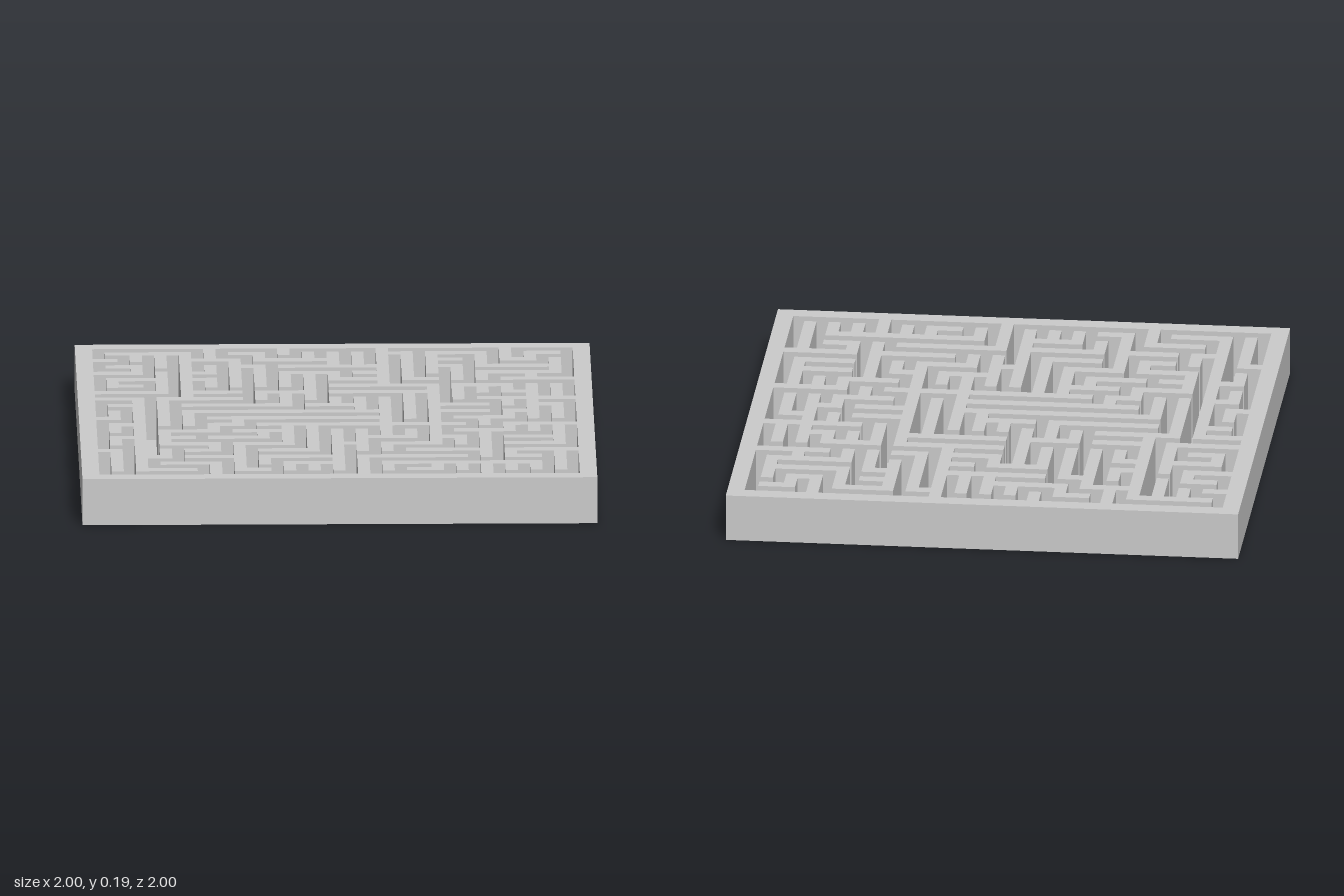
import * as THREE from 'three';

// Maze plan: each wall post names the neighbour its wall runs to (Up, Down, Left, Right)
const PLAN = [
  'RRRDURDUDDDULRRDUDL',
  'LUURULRRRDDUUULDULD',
  'RDUUDULRRRRUUULRRRD',
  'LLDULUURRDRUUUURRDL',
  'RRDULUUUURRUULUURRR',
  'ULDUUUUUURRULLRRDDD',
  'LLLULLRRURRRRUUURDD',
  'LLRULLUUUDDDUUURRRR',
  'RUURRRRURRDDUULLUUL',
  'DUURRRRRRRRDUULLRUU',
  'LUUURRRRRRRDUURRUUU',
  'RUUURURRRRRRRULURRR',
  'UURRURRUUDDUDURRUUU',
  'RUULRRUUUDRULULURRU',
  'UUULLRRUURURRUUURRU',
  'LUDRUURRUUUURRRURRR',
  'UULRRURRRUDLLLLUULU',
  'UURRDUURRUDRRRRDLLU',
  'UULLDULUUUDURUUDUUU',
];
const STEP = { U: [0, -1], D: [0, 1], L: [-1, 0], R: [1, 0] };
const N = 41;          // border + 39 lanes + border
const HEIGHT = 0.185;
const INNER = 0.933;   // inside face of the border

// Position of grid line i
function line(i) {
  if (i === 0) return -1;
  if (i === N) return 1;
  return -INNER + (i - 1) * (2 * INNER) / (N - 2);
}

// True where a cell is raised
function buildCells() {
  const raised = [];
  for (let j = 0; j < N; j++) {
    raised.push([]);
    for (let i = 0; i < N; i++) raised[j].push(i === 0 || j === 0 || i === N - 1 || j === N - 1);
  }
  PLAN.forEach((row, b) => [...row].forEach((letter, a) => {
    const i = 2 * a + 2, j = 2 * b + 2;
    const [dx, dz] = STEP[letter];
    raised[j][i] = true;
    raised[j + dz][i + dx] = true;
  }));
  return raised;
}

// Collects quads and turns them into a flat-faced mesh
function quadMesh(name, quads) {
  const pos = [];
  for (const [a, b, c, d] of quads) pos.push(...a, ...b, ...c, ...a, ...c, ...d);
  const geometry = new THREE.BufferGeometry();
  geometry.setAttribute('position', new THREE.Float32BufferAttribute(pos, 3));
  geometry.computeVertexNormals();
  const material = new THREE.MeshStandardMaterial({ color: 0xcccccc, side: THREE.DoubleSide });
  const mesh = new THREE.Mesh(geometry, material);
  mesh.name = name;
  return mesh;
}

export function createModel() {
  const raised = buildCells();
  const isOpen = (i, j) => !(raised[j] && raised[j][i]);
  const tops = [], floors = [], sides = [];

  const flat = (x0, x1, z0, z1, y) => [[x0, y, z0], [x0, y, z1], [x1, y, z1], [x1, y, z0]];
  const upright = (xa, za, xb, zb) => [[xa, 0, za], [xb, 0, zb], [xb, HEIGHT, zb], [xa, HEIGHT, za]];

  for (let j = 0; j < N; j++) {
    for (let i = 0; i < N; i++) {
      const x0 = line(i), x1 = line(i + 1), z0 = line(j), z1 = line(j + 1);
      if (!raised[j][i]) {
        floors.push(flat(x0, x1, z0, z1, 0));
        continue;
      }
      tops.push(flat(x0, x1, z0, z1, HEIGHT));
      // Sides wherever a wall meets a lane or the outside; walls stay hollow underneath
      if (isOpen(i + 1, j)) sides.push(upright(x1, z1, x1, z0));
      if (isOpen(i - 1, j)) sides.push(upright(x0, z0, x0, z1));
      if (isOpen(i, j + 1)) sides.push(upright(x0, z1, x1, z1));
      if (isOpen(i, j - 1)) sides.push(upright(x1, z0, x0, z0));
    }
  }

  const maze = new THREE.Group();
  maze.name = 'maze';
  maze.add(
    quadMesh('wallTops', tops),
    quadMesh('laneFloors', floors),
    quadMesh('wallSides', sides),
  );
  return maze;
}
